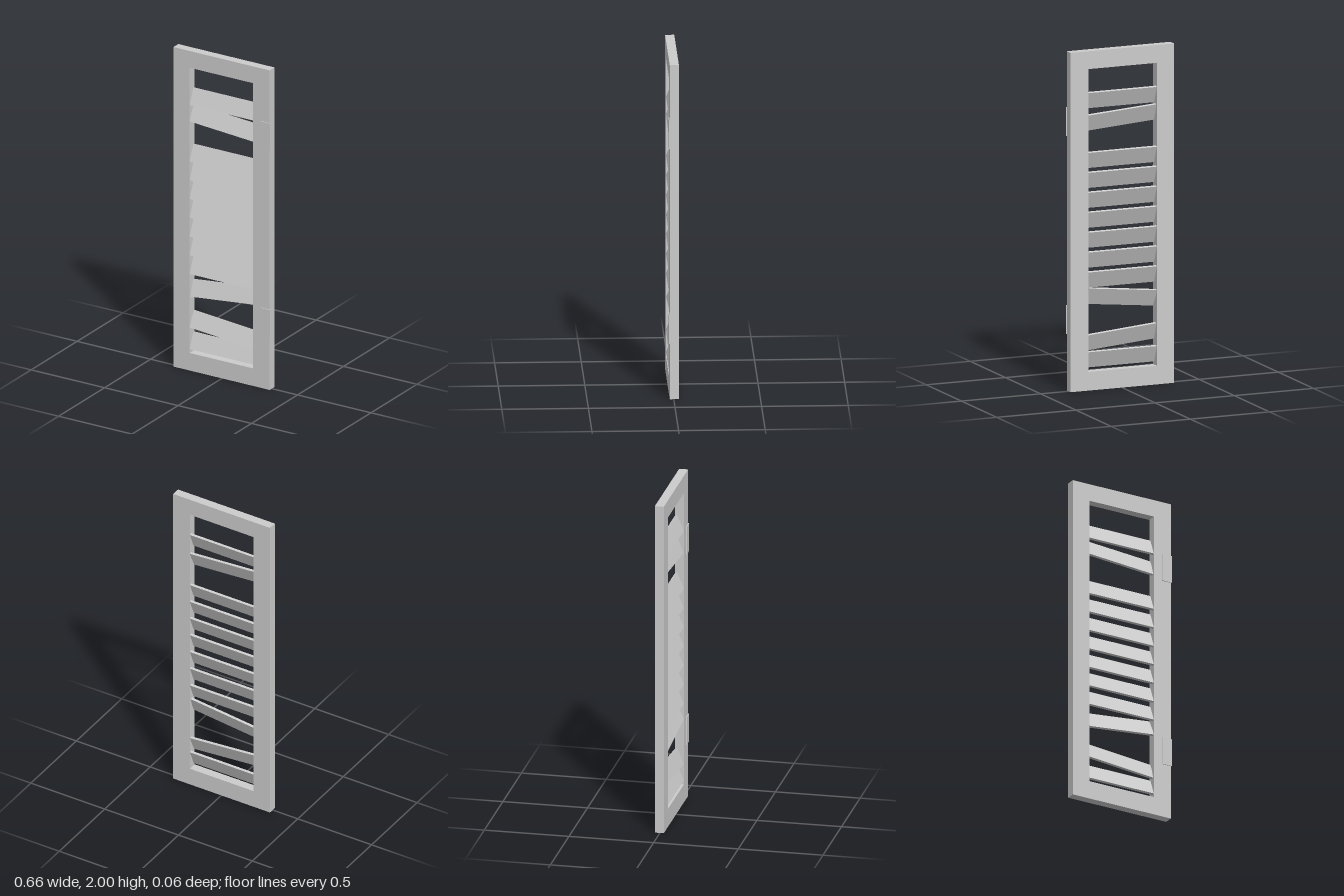
import * as THREE from 'three';

const material = new THREE.MeshStandardMaterial({ color: 0xcccccc, flatShading: true });

function rect(path, x0, y0, x1, y1) {
  path.moveTo(x0, y0);
  path.lineTo(x1, y0);
  path.lineTo(x1, y1);
  path.lineTo(x0, y1);
  path.closePath();
  return path;
}

function addPart(group, name, geometry) {
  const mesh = new THREE.Mesh(geometry, material);
  mesh.name = name;
  group.add(mesh);
  return mesh;
}

export function createModel() {
  const shutter = new THREE.Group();
  shutter.name = 'shutter';

  // Frame: a flat panel with one tall opening
  const outline = rect(new THREE.Shape(), -0.33, 0, 0.325, 2);
  outline.holes.push(rect(new THREE.Path(), -0.22, 0.11, 0.212, 1.895));
  const frame = addPart(shutter, 'frame',
    new THREE.ExtrudeGeometry(outline, { depth: 0.053, bevelEnabled: false }));
  frame.position.z = -0.03;

  // Slats: evenly spaced, lower edge forward; some missing, some hanging crooked
  const slatGeometry = new THREE.BoxGeometry(0.432, 0.105, 0.014);
  const missing = [2, 11];
  const roll = { 1: -0.07, 10: 0.108, 12: -0.082 };
  for (let i = 0; i < 14; i++) {
    if (missing.includes(i)) continue;
    const slat = addPart(shutter, 'slat', slatGeometry);
    slat.position.set(-0.004, 1.707 - i * 0.1175, -0.004);
    slat.rotation.set(-0.384, 0, roll[i] ?? 0, 'ZYX');
  }

  // Hinge plates: thin leaves with a chamfered inner edge, just past the frame side
  const section = new THREE.Shape([
    [0.264, -0.022], [0.269, -0.028], [0.329, -0.028], [0.329, -0.022],
  ].map(([x, y]) => new THREE.Vector2(x, y)));
  const hingeGeometry = new THREE.ExtrudeGeometry(section, { depth: 0.17, bevelEnabled: false });
  hingeGeometry.rotateX(-Math.PI / 2);
  for (const y of [0.333, 1.5]) {
    addPart(shutter, 'hingePlate', hingeGeometry).position.y = y;
  }

  return shutter;
}
